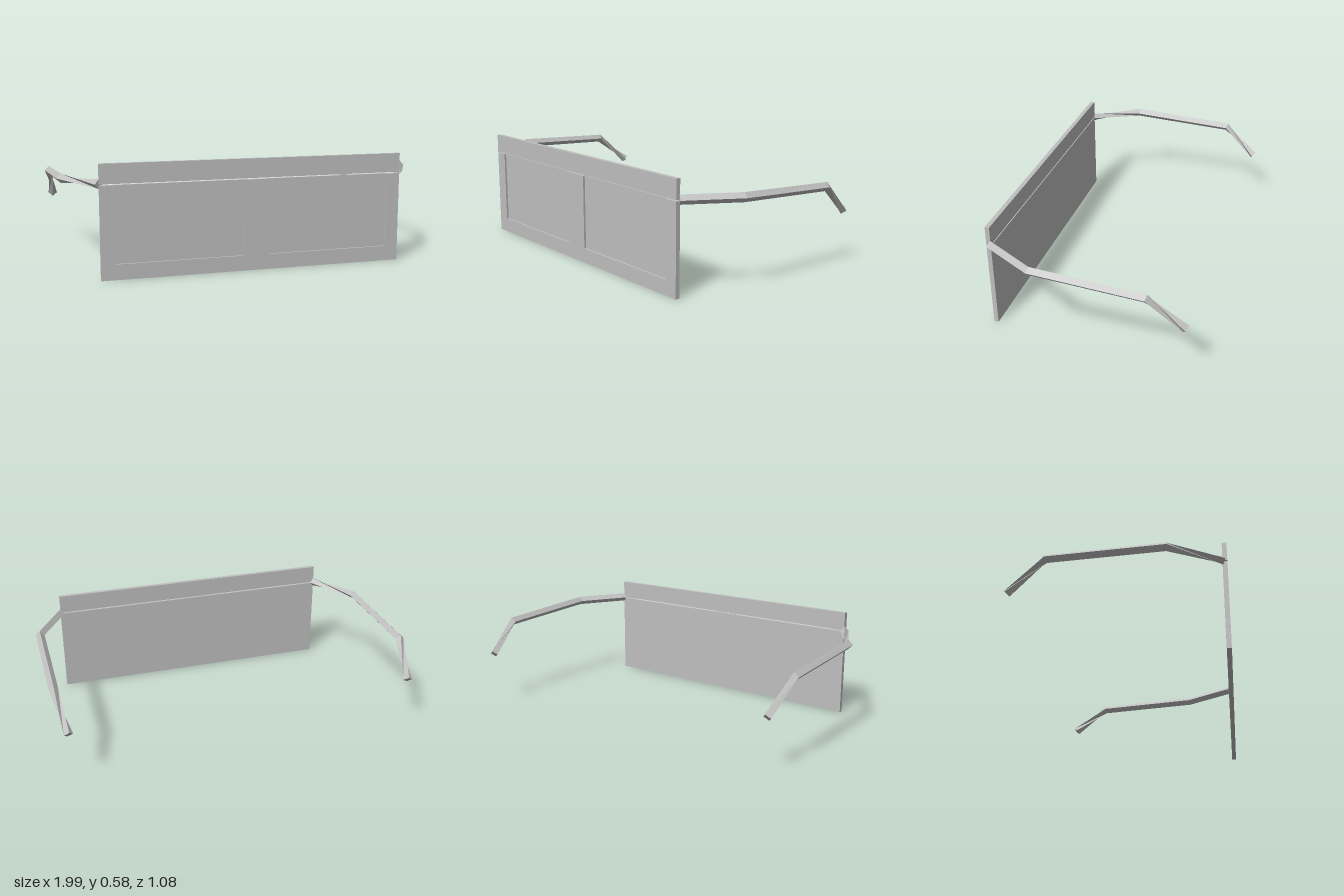
import * as THREE from 'three';

const BACK = 0.519, DEPTH = 0.024;   // face panel position and thickness
const SPLIT_LOW = 0.477, SPLIT_HIGH = 0.484;
const RADIUS = 0.0245;               // half diagonal of the square temple bar

function box(name, x0, x1, y0, y1, z0, z1, material) {
  const mesh = new THREE.Mesh(new THREE.BoxGeometry(x1 - x0, y1 - y0, z1 - z0), material);
  mesh.position.set((x0 + x1) / 2, (y0 + y1) / 2, (z0 + z1) / 2);
  mesh.name = name;
  return mesh;
}

// Square bar swept through the points; each turn of 2 steps twists a section by half a turn.
function sweptBar(points, turns) {
  const up = new THREE.Vector3(0, 1, 0);
  const rings = points.map((p, i) => {
    const tangent = new THREE.Vector3();
    if (i > 0) tangent.add(p.clone().sub(points[i - 1]).normalize());
    if (i < points.length - 1) tangent.add(points[i + 1].clone().sub(p).normalize());
    tangent.normalize();
    const side = new THREE.Vector3().crossVectors(tangent, up).normalize();
    const top = new THREE.Vector3().crossVectors(side, tangent);
    return [0, 1, 2, 3].map((k) => {
      const a = (k + turns[i]) * Math.PI / 2;
      return p.clone().addScaledVector(side, RADIUS * Math.cos(a)).addScaledVector(top, RADIUS * Math.sin(a));
    });
  });
  const corners = [];
  const quad = (a, b, c, d) => corners.push(a, b, c, a, c, d);
  for (let i = 0; i < rings.length - 1; i++) {
    for (let k = 0; k < 4; k++) {
      const n = (k + 1) % 4;
      quad(rings[i][k], rings[i][n], rings[i + 1][n], rings[i + 1][k]);
    }
  }
  const first = rings[0], last = rings[rings.length - 1];
  quad(first[3], first[2], first[1], first[0]);
  quad(last[0], last[1], last[2], last[3]);
  const geometry = new THREE.BufferGeometry().setFromPoints(corners);
  geometry.computeVertexNormals();
  return geometry;
}

export function createModel() {
  const group = new THREE.Group();
  const grey = new THREE.MeshStandardMaterial({ color: 0xbfbfbf, side: THREE.DoubleSide });
  grey.name = 'grey';

  // Brow bar above the narrow slit
  group.add(box('browBar', -0.808, 0.808, SPLIT_HIGH, 0.585, BACK, BACK + DEPTH, grey));

  // Lower frame with two openings that reach the slit
  const outline = [
    [-0.808, 0], [0.808, 0], [0.808, SPLIT_LOW], [0.735, SPLIT_LOW], [0.735, 0.08], [0.07, 0.08],
    [0.07, SPLIT_LOW], [-0.07, SPLIT_LOW], [-0.07, 0.08], [-0.735, 0.08], [-0.735, SPLIT_LOW], [-0.808, SPLIT_LOW],
  ];
  const shape = new THREE.Shape(outline.map(([x, y]) => new THREE.Vector2(x, y)));
  const frame = new THREE.Mesh(new THREE.ExtrudeGeometry(shape, { depth: DEPTH, bevelEnabled: false }), grey);
  frame.position.z = BACK;
  frame.name = 'lowerFrame';
  group.add(frame);

  // Recessed lenses, flush with the back
  group.add(box('leftLens', 0.07, 0.735, 0.08, SPLIT_LOW, BACK, BACK + 0.013, grey));
  group.add(box('rightLens', -0.735, -0.07, 0.08, SPLIT_LOW, BACK, BACK + 0.013, grey));

  // Temples with twisted ear hooks; the right one is also twisted at the hinge
  const path = [[0.807, 0.483, 0.522], [0.963, 0.482, 0.252], [0.973, 0.449, -0.333], [0.939, 0.288, -0.523]];
  for (const [name, sign, turns] of [['leftTemple', 1, [0, 0, 0, 2]], ['rightTemple', -1, [2, 0, 0, 2]]]) {
    const points = path.map(([x, y, z]) => new THREE.Vector3(sign * x, y, z));
    const temple = new THREE.Mesh(sweptBar(points, turns), grey);
    temple.name = name;
    group.add(temple);
  }
  return group;
}
